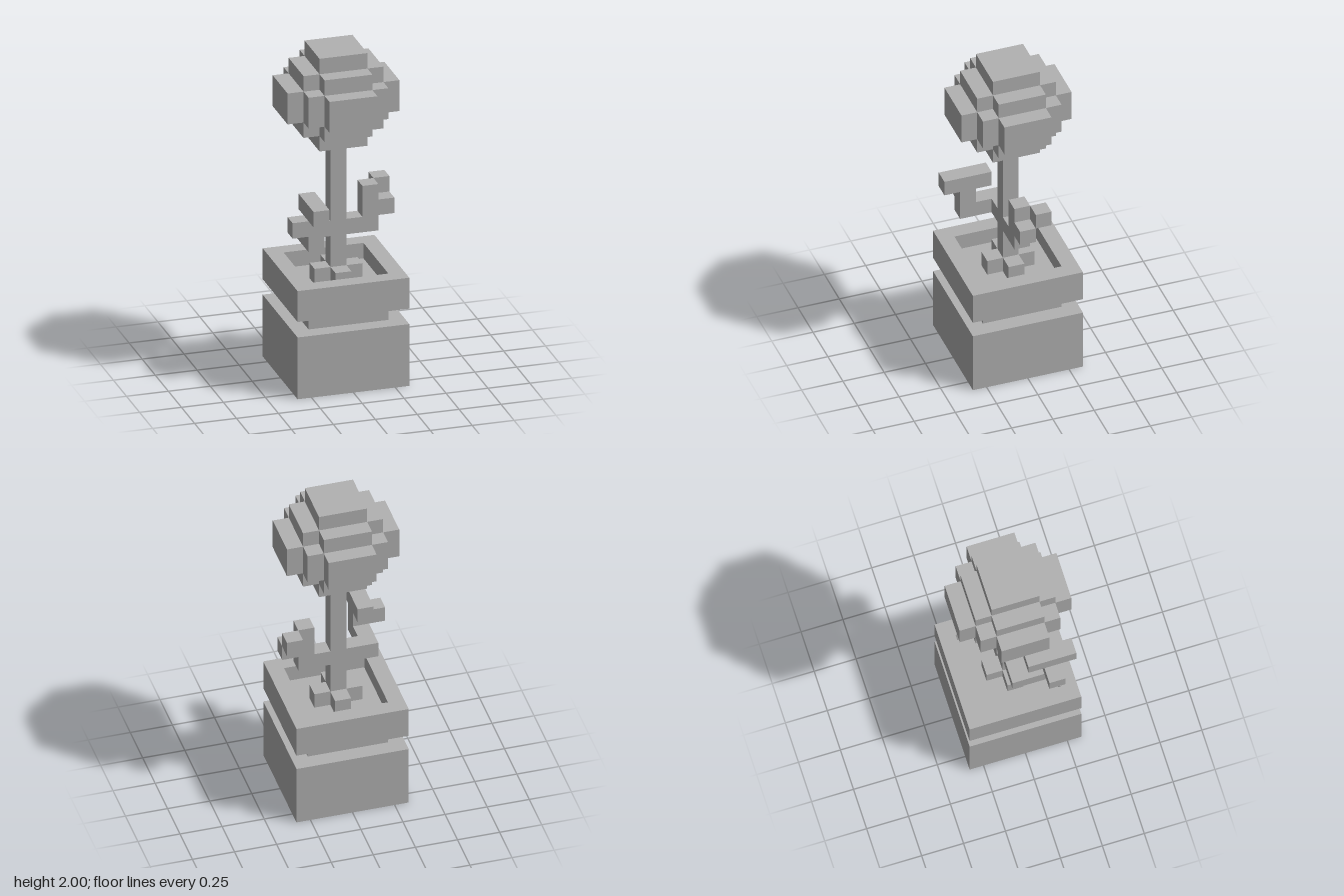
import * as THREE from 'three';

// All sizes below are in blocks; the model is 21 blocks tall.
const U = 2 / 21;
const grey = new THREE.MeshStandardMaterial({ color: 0xb2b2b2 });
grey.name = 'grey';

// Box of size w, h, d standing at height y, centred on x and z
function block(parent, name, w, h, d, x, y, z) {
  const mesh = new THREE.Mesh(new THREE.BoxGeometry(w * U, h * U, d * U), grey);
  mesh.position.set(x * U, (y + h / 2) * U, z * U);
  mesh.name = name;
  parent.add(mesh);
}

function part(parent, name) {
  const g = new THREE.Group();
  g.name = name;
  parent.add(g);
  return g;
}

export function createModel() {
  const model = new THREE.Group();
  model.name = 'pottedFlower';

  // Pot: base, narrow neck, soil and hollow rim
  const pot = part(model, 'pot');
  block(pot, 'potBase', 7, 4, 7, 0, 0, 0);
  block(pot, 'potNeck', 5, 1, 5, 0, 4, 0);
  block(pot, 'soil', 5, 1, 5, 0, 5, 0);
  for (const s of [-1, 1]) {
    block(pot, 'rimSide', 1, 2, 5, s * 3, 5, 0);
    block(pot, 'rimEnd', 7, 2, 1, 0, 5, s * 3);
  }

  // Stem with four small blocks around its foot
  block(model, 'stem', 1, 9, 1, 0, 6, 0);
  const roots = part(model, 'roots');
  for (const s of [-1, 1]) {
    block(roots, 'root', 1, 1, 1, s, 6, 0);
    block(roots, 'root', 1, 1, 1, 0, 6, s);
  }

  // Leaf on the left (+x)
  const leftLeaf = part(model, 'leftLeaf');
  block(leftLeaf, 'leafStalk', 2, 1, 1, 1.5, 9, 0);
  block(leftLeaf, 'leafUpright', 1, 2, 1, 2, 10, 0);
  block(leftLeaf, 'leafSide', 1, 1, 1, 3, 10, 0);
  block(leftLeaf, 'leafTip', 1, 1, 1, 3, 11, -1);

  // Leaf on the right (-x), bending forward
  const rightLeaf = part(model, 'rightLeaf');
  block(rightLeaf, 'leafStalk', 2, 1, 1, -1.5, 9, 0);
  block(rightLeaf, 'leafBend', 1, 1, 2, -2, 9, 1.5);
  block(rightLeaf, 'leafUpright', 1, 1, 1, -2, 10, 2);
  block(rightLeaf, 'leafSide', 1, 1, 1, -3, 10, 2);
  block(rightLeaf, 'leafTop', 1, 1, 3, -2, 11, 2);

  // Round bloom made of crossing blocks
  const bloom = part(model, 'bloom');
  block(bloom, 'bloomCore', 3, 6, 3, 0, 15, 0);
  block(bloom, 'bloomStepX', 5, 4, 3, 0, 16, 0);
  block(bloom, 'bloomStepZ', 3, 4, 5, 0, 16, 0);
  block(bloom, 'bloomCorners', 5, 2, 5, 0, 17, 0);
  block(bloom, 'bloomArmX', 7, 2, 3, 0, 17, 0);
  block(bloom, 'bloomArmZ', 3, 2, 7, 0, 17, 0);

  return model;
}
